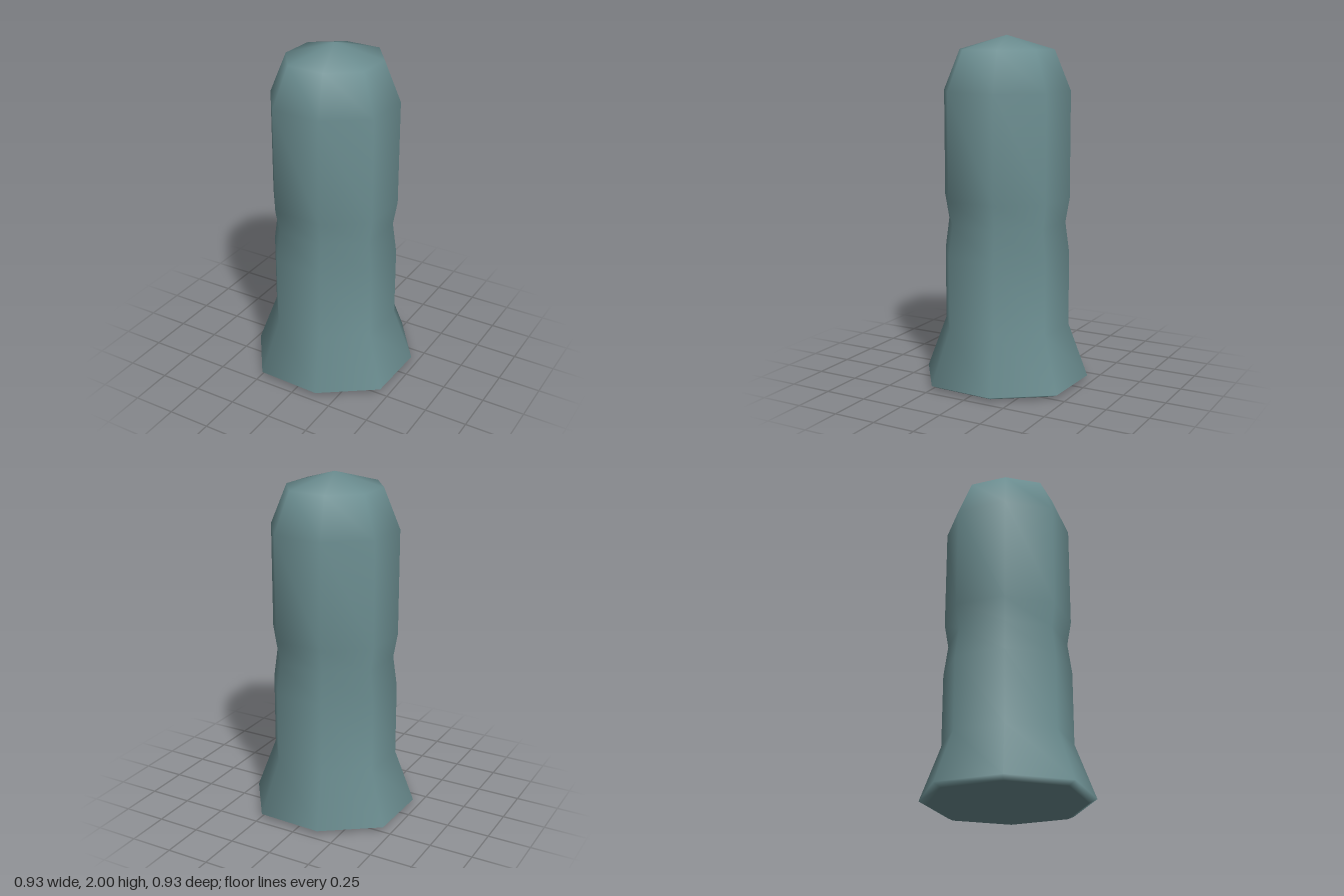
import * as THREE from 'three';
import { mergeVertices } from 'three/addons/utils/BufferGeometryUtils.js';

const slate = new THREE.MeshStandardMaterial({ color: 0x6b8d90 });
slate.name = 'slate teal';

// Eight-sided turned post: flared foot, slim waist and shallow domed cap
function postGeometry() {
  const profile = [
    [0, 0], [0.44, 0.003], [0.484, 0.025], [0.369, 0.335], [0.369, 0.76],
    [0.345, 0.94], [0.369, 1.08], [0.369, 1.69], [0.275, 1.92], [0, 2],
  ].map(([r, y]) => new THREE.Vector2(r, y));
  const lathe = new THREE.LatheGeometry(profile, 8, THREE.MathUtils.degToRad(16.8));

  // Every second corner sits slightly further out
  const pos = lathe.attributes.position;
  for (let i = 0; i < pos.count; i++) {
    const side = Math.floor(i / profile.length);
    const s = side % 2 ? 1.056 : 1;
    pos.setX(i, pos.getX(i) * s);
    pos.setZ(i, pos.getZ(i) * s);
  }

  // Weld the seam and shade smoothly all over
  lathe.deleteAttribute('uv');
  lathe.deleteAttribute('normal');
  const smooth = mergeVertices(lathe, 1e-4);
  smooth.computeVertexNormals();
  return smooth;
}

export function createModel() {
  const group = new THREE.Group();
  group.name = 'bollard';
  const post = new THREE.Mesh(postGeometry(), slate);
  post.name = 'post';
  group.add(post);
  return group;
}
